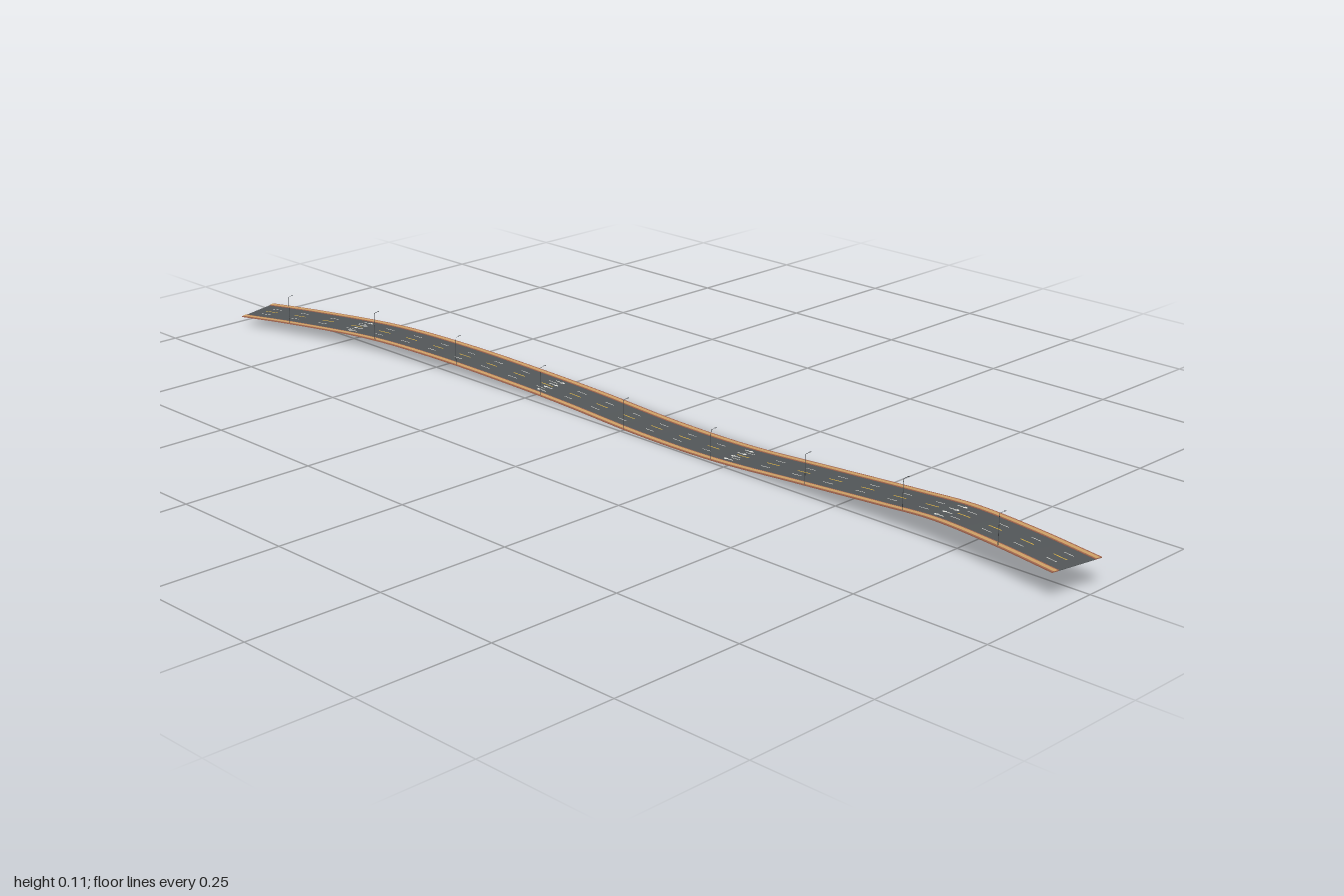
import * as THREE from 'three';

const mat = (name, color) => {
  const m = new THREE.MeshStandardMaterial({ color });
  m.name = name;
  return m;
};

export function createModel() {
  const group = new THREE.Group();
  const asphalt = mat('asphalt', 0x54585a);
  const brick = mat('brick paving', 0xa5674f);
  const tan = mat('tan paving', 0xd2a468);
  const white = mat('white paint', 0xe8e8e2);
  const yellow = mat('yellow paint', 0xe0b545);
  const metal = mat('dark metal', 0x45494c);

  // Centre line of the road surface: bends in x, dips in y
  const path = new THREE.CatmullRomCurve3([
    [-0.058, 0.0195, -0.986], [-0.027, 0.0235, -0.87], [0.017, 0.0265, -0.68],
    [0.037, 0.024, -0.5], [0.052, 0.0155, -0.3], [0.0605, 0.0075, -0.16],
    [0.057, 0.001, 0.04], [0.052, 0.004, 0.22], [0.047, 0.0185, 0.42],
    [0.039, 0.0335, 0.6], [0.0265, 0.0455, 0.72], [0.002, 0.051, 0.86],
    [-0.021, 0.051, 0.988],
  ].map((p) => new THREE.Vector3(...p)));
  path.arcLengthDivisions = 800;
  const length = path.getLength();

  const frame = (u) => {
    const p = path.getPointAt(u);
    const t = path.getTangentAt(u);
    return { p, side: new THREE.Vector3(t.z, 0, -t.x).normalize() };
  };

  // Box section swept along the road: x from o0 to o1, y from y0 to y1
  function sweep(o0, o1, y0, y1, u0 = 0, u1 = 1, pos = [], index = []) {
    const n = Math.max(1, Math.ceil((u1 - u0) * 96));
    const corners = [[o0, y1], [o1, y1], [o1, y0], [o0, y0]];
    const point = (i, k) => {
      const { p, side } = frame(u0 + ((u1 - u0) * i) / n);
      const [o, y] = corners[k % 4];
      pos.push(p.x + side.x * o, p.y + y, p.z + side.z * o);
    };
    for (let k = 0; k < 4; k++) {
      const base = pos.length / 3;
      for (let i = 0; i <= n; i++) {
        point(i, k);
        point(i, k + 1);
      }
      for (let i = 0; i < n; i++) {
        const a = base + i * 2, b = a + 1, d = a + 2, c = a + 3;
        index.push(a, d, c, a, c, b);
      }
    }
    for (const end of [0, n]) {
      const base = pos.length / 3;
      for (let k = 0; k < 4; k++) point(end, k);
      const q = end ? [0, 2, 1, 0, 3, 2] : [0, 1, 2, 0, 2, 3];
      index.push(...q.map((v) => v + base));
    }
    return { pos, index };
  }

  function addMesh(name, material, { pos, index }) {
    const g = new THREE.BufferGeometry();
    g.setAttribute('position', new THREE.Float32BufferAttribute(pos, 3));
    g.setIndex(index);
    g.computeVertexNormals();
    const m = new THREE.Mesh(g, material);
    m.name = name;
    group.add(m);
  }

  // Road deck and the pavements on both sides
  addMesh('roadDeck', asphalt, sweep(-0.037, 0.037, -0.0008, 0));
  for (const [name, s] of [['left', 1], ['right', -1]]) {
    const strip = (a, b, y0, y1) => sweep(Math.min(a * s, b * s), Math.max(a * s, b * s), y0, y1);
    addMesh(name + 'Pavement', brick, strip(0.037, 0.051, -0.0008, 0.0008));
    addMesh(name + 'PavingStrip', tan, strip(0.0398, 0.0475, 0.0008, 0.0011));
  }

  // Dashed lane lines
  function dashes(name, material, offset, half, count, fill) {
    const out = { pos: [], index: [] };
    for (let i = 0; i < count; i++) {
      const u = (i + 0.5 - fill / 2) / count;
      sweep(offset - half, offset + half, 0, 0.0003, u, u + fill / count, out.pos, out.index);
    }
    addMesh(name, material, out);
  }
  dashes('centreDashes', yellow, 0, 0.0009, 28, 0.4);
  dashes('leftLaneDashes', white, 0.018, 0.0005, 28, 0.3);
  dashes('rightLaneDashes', white, -0.018, 0.0005, 28, 0.3);

  // Direction arrows in four rows, one per lane
  const arrows = { pos: [], index: [] };
  for (const u of [0.13, 0.38, 0.62, 0.86]) {
    for (const lane of [-0.027, -0.009, 0.009, 0.027]) {
      const dir = Math.sign(lane);
      const piece = (half, a, b) => sweep(lane - half, lane + half, 0, 0.0003,
        u + Math.min(a * dir, b * dir) / length, u + Math.max(a * dir, b * dir) / length,
        arrows.pos, arrows.index);
      piece(0.0009, -0.012, 0.002);
      piece(0.003, 0.002, 0.0055);
      piece(0.0016, 0.0055, 0.009);
    }
  }
  addMesh('laneArrows', white, arrows);

  // Street lamps along the right pavement, arms reaching over the road
  const poleGeo = new THREE.CylinderGeometry(0.0004, 0.0005, 0.053, 8);
  const armGeo = new THREE.CylinderGeometry(0.0003, 0.0003, 0.0105, 6);
  const headGeo = new THREE.BoxGeometry(0.0045, 0.0007, 0.0014);
  for (let i = 0; i < 9; i++) {
    const { p, side } = frame(0.06 + i * 0.11);
    const lamp = new THREE.Group();
    lamp.name = 'streetLamp' + (i + 1);
    lamp.position.copy(p).addScaledVector(side, -0.0485);
    lamp.rotation.y = Math.atan2(-side.z, side.x);
    const part = (name, geo, x, y, rz = 0) => {
      const m = new THREE.Mesh(geo, metal);
      m.name = name;
      m.position.set(x, y, 0);
      m.rotation.z = rz;
      lamp.add(m);
    };
    part('pole', poleGeo, 0, 0.0273);
    part('arm', armGeo, 0.0052, 0.0542, -Math.PI / 2 + 0.12);
    part('lampHead', headGeo, 0.0112, 0.0548);
    group.add(lamp);
  }
  return group;
}
